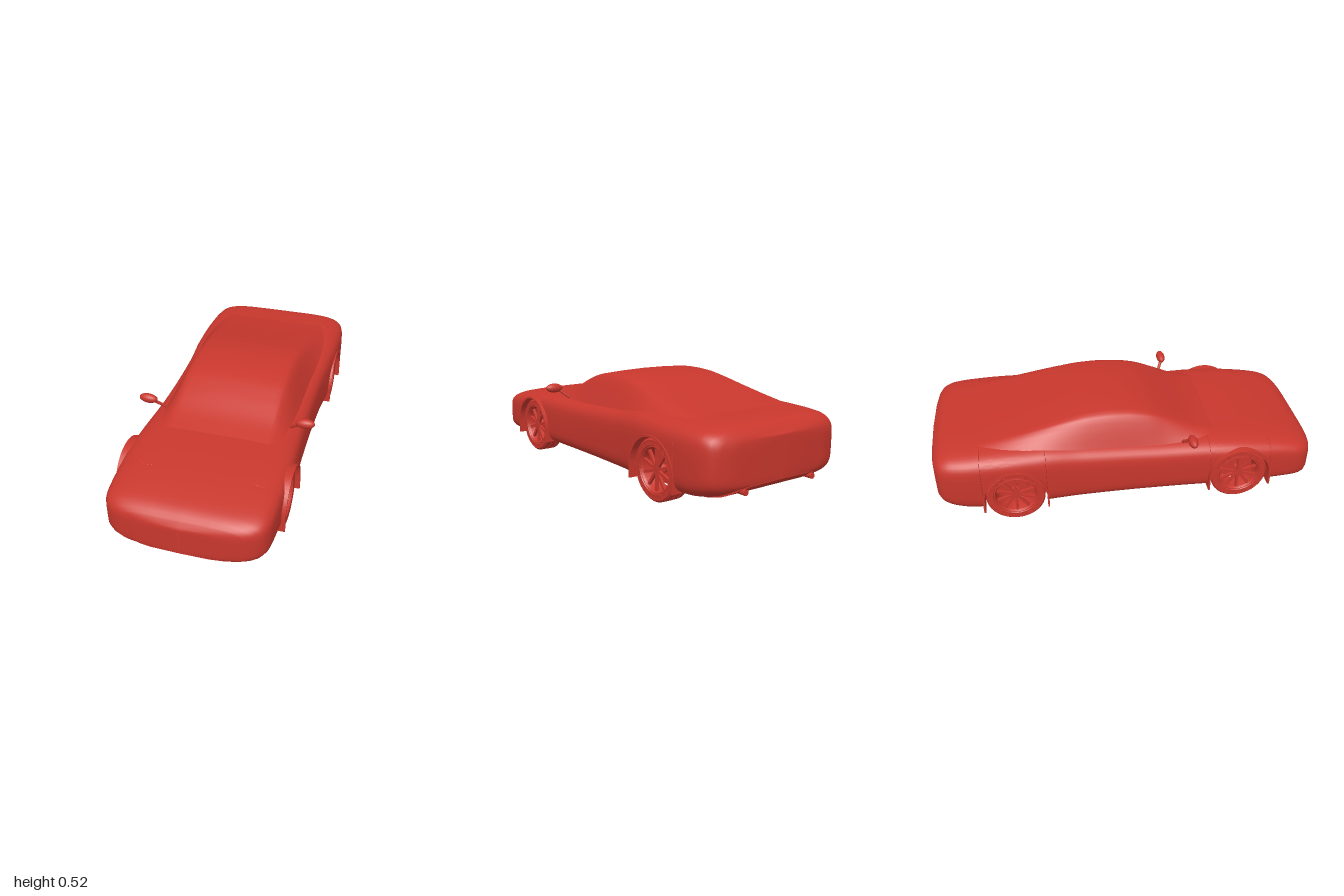
import * as THREE from 'three';
import { toCreasedNormals } from 'three/addons/utils/BufferGeometryUtils.js';

const AXLES = [0.567, -0.595], HUB_Y = 0.155, ARCH_R = 0.16, WELL_X = 0.29;

// Smooth lookup in rows [z, a, b, ...] ordered from front to back
function sample(rows, z) {
  let i = 0;
  while (i < rows.length - 2 && z < rows[i + 1][0]) i++;
  const p = rows[i], q = rows[i + 1], o = rows[i - 1] || p, r = rows[i + 2] || q;
  const d = q[0] - p[0], t = THREE.MathUtils.clamp((z - p[0]) / d, 0, 1);
  const slope = (a, b, c, k) => {
    const s = a === b ? 0 : (b[k] - a[k]) / (b[0] - a[0]);
    const u = b === c ? 0 : (c[k] - b[k]) / (c[0] - b[0]);
    if (a === b) return u;
    if (b === c) return s;
    return s * u <= 0 ? 0 : (2 * s * u) / (s + u);
  };
  return p.slice(1).map((v, n) => {
    const k = n + 1, m0 = slope(o, p, q, k) * d, m1 = slope(p, q, r, k) * d;
    const t2 = t * t, t3 = t2 * t;
    return v * (2 * t3 - 3 * t2 + 1) + q[k] * (3 * t2 - 2 * t3) + m0 * (t3 - 2 * t2 + t) + m1 * (t3 - t2);
  });
}

// Skin cross-sections; each half runs from bottom centre up the left side to top centre
function loft(stations, half, crease) {
  const pos = [], idx = [];
  let n = 0;
  stations.forEach((z) => {
    const h = half(z);
    const ring = [...h, ...h.slice(0, -1).reverse().map(([x, y]) => [-x, y])];
    n = ring.length;
    ring.forEach(([x, y]) => pos.push(x, y, z));
  });
  for (let i = 0; i < stations.length - 1; i++) {
    for (let j = 0; j < n - 1; j++) {
      const a = i * n + j, c = a + n;
      idx.push(a, c, a + 1, a + 1, c, c + 1);
    }
  }
  const g = new THREE.BufferGeometry();
  g.setAttribute('position', new THREE.Float32BufferAttribute(pos, 3));
  g.setIndex(idx);
  return toCreasedNormals(g, crease);
}

// Lower body: z, half width, bottom, top
const BODY = [
  [1, 0.001, 0.085, 0.225], [0.993, 0.2, 0.08, 0.235], [0.975, 0.31, 0.073, 0.262],
  [0.94, 0.37, 0.067, 0.288], [0.88, 0.396, 0.064, 0.308], [0.75, 0.405, 0.062, 0.333],
  [0.57, 0.411, 0.06, 0.354], [0.4, 0.405, 0.06, 0.364], [0.2, 0.397, 0.06, 0.366],
  [0, 0.394, 0.06, 0.376], [-0.25, 0.398, 0.06, 0.395], [-0.45, 0.412, 0.06, 0.416],
  [-0.65, 0.42, 0.06, 0.418], [-0.8, 0.418, 0.066, 0.414], [-0.9, 0.405, 0.085, 0.408],
  [-0.95, 0.385, 0.105, 0.393], [-0.98, 0.345, 0.125, 0.37], [-0.995, 0.26, 0.138, 0.35],
  [-1, 0.001, 0.142, 0.345],
];

function bodyHalf(z) {
  const [w, yb, yt] = sample(BODY, z), n = 5, mid = (yb + yt) / 2, hh = (yt - yb) / 2;
  let start = -Math.acos(Math.pow(0.75, n / 2));
  // Lift the lower edge over each wheel
  for (const c of AXLES) {
    const d = Math.abs(z - c);
    if (d <= ARCH_R) {
      const s = (HUB_Y + Math.sqrt(ARCH_R * ARCH_R - d * d) - mid) / hh;
      start = Math.asin(Math.sign(s) * Math.pow(Math.min(Math.abs(s), 0.98), n / 2));
    }
  }
  const side = [];
  for (let i = 0; i <= 24; i++) {
    const a = start + (Math.PI / 2 - start) * (i / 24), s = Math.sin(a);
    const x = i === 24 ? 0 : w * Math.pow(Math.cos(a), 2 / n);
    side.push([x, mid + hh * Math.sign(s) * Math.pow(Math.abs(s), 2 / n)]);
  }
  const inner = Math.min(WELL_X, 0.7 * w);
  return [[0, yb], [inner, yb], [inner, side[0][1]], ...side];
}

// Cabin: z, base half width, base height, roof height
const CABIN = [
  [0.45, 0.33, 0.34, 0.362], [0.35, 0.338, 0.34, 0.394], [0.2, 0.342, 0.342, 0.465],
  [0.1, 0.343, 0.348, 0.505], [0, 0.343, 0.354, 0.524], [-0.1, 0.344, 0.36, 0.53],
  [-0.2, 0.347, 0.366, 0.525], [-0.3, 0.353, 0.374, 0.508], [-0.45, 0.362, 0.385, 0.474],
  [-0.6, 0.365, 0.385, 0.442], [-0.8, 0.36, 0.38, 0.408],
];
const CABIN_SHAPE = [[1, 0], [0.95, 0.22], [0.9, 0.45], [0.84, 0.69], [0.79, 0.86],
  [0.75, 0.925], [0.68, 0.955], [0.35, 0.987], [0, 1]];

function cabinHalf(z) {
  const [w, y0, y1] = sample(CABIN, z);
  return CABIN_SHAPE.map(([x, y]) => [x * w, y0 + (y1 - y0) * y]);
}

function stationsBetween(front, back, count, extra) {
  const list = [...extra];
  for (let i = 0; i <= count; i++) list.push(front + (back - front) * (i / count));
  return [...new Set(list)].sort((a, b) => b - a);
}

export function createModel() {
  const car = new THREE.Group();
  car.name = 'car';
  const red = new THREE.MeshStandardMaterial({ color: 0xc8372d, side: THREE.DoubleSide });
  red.name = 'red paint';
  const add = (parent, name, geo, x = 0, y = 0, z = 0) => {
    const m = new THREE.Mesh(geo, red);
    m.name = name;
    m.position.set(x, y, z);
    parent.add(m);
    return m;
  };

  // Body shell with open wheel wells
  const extra = BODY.map((r) => r[0]);
  for (const c of AXLES) {
    for (const s of [-1, 1]) {
      for (const f of [1.01, 0.9999, 0.985, 0.95, 0.88]) extra.push(c + s * ARCH_R * f);
    }
  }
  add(car, 'body', loft(stationsBetween(1, -1, 100, extra), bodyHalf, 0.6));
  add(car, 'cabin', loft(stationsBetween(0.45, -0.8, 50, []), cabinHalf, 0.6));

  // Wheel arch flare
  const flare = new THREE.Shape();
  flare.moveTo(-0.166, -0.07);
  flare.lineTo(-0.166, 0);
  flare.absarc(0, 0, 0.166, Math.PI, 0, true);
  flare.lineTo(0.166, -0.07);
  flare.lineTo(0.157, -0.07);
  flare.lineTo(0.157, 0);
  flare.absarc(0, 0, 0.157, 0, Math.PI, false);
  flare.lineTo(-0.157, -0.07);
  const flareGeo = toCreasedNormals(new THREE.ExtrudeGeometry(flare,
    { depth: 0.425 - WELL_X, bevelEnabled: false, curveSegments: 32 }).rotateY(Math.PI / 2), 0.6);

  // Wheel parts, axle along x with the outer face at +x
  const profile = [[0.11, -0.047], [0.14, -0.051], [0.149, -0.043], [0.15, -0.02], [0.146, -0.018],
    [0.146, -0.012], [0.15, -0.01], [0.15, 0.01], [0.146, 0.012], [0.146, 0.018], [0.15, 0.02],
    [0.149, 0.043], [0.14, 0.051], [0.115, 0.048], [0.112, 0.043], [0.107, 0.045], [0.1, 0.035],
    [0.098, -0.045], [0.11, -0.047]].map(([r, y]) => new THREE.Vector2(r, y));
  const tireGeo = toCreasedNormals(new THREE.LatheGeometry(profile, 40).rotateZ(-Math.PI / 2), 0.6);
  const hubGeo = new THREE.CylinderGeometry(0.02, 0.028, 0.035, 20).rotateZ(-Math.PI / 2);
  const discGeo = new THREE.CylinderGeometry(0.065, 0.065, 0.012, 28).rotateZ(-Math.PI / 2);
  const axleGeo = new THREE.CylinderGeometry(0.02, 0.02, 0.08, 12).rotateZ(-Math.PI / 2);
  const spokeGeo = new THREE.BoxGeometry(0.014, 0.09, 0.013).translate(0, 0.058, 0);

  const mirrorGeo = new THREE.SphereGeometry(1, 16, 10).scale(0.05, 0.025, 0.024);

  for (const side of [1, -1]) {
    const label = side > 0 ? 'left' : 'right';
    AXLES.forEach((z, i) => {
      const end = i === 0 ? 'Front' : 'Rear';
      add(car, label + end + 'ArchFlare', flareGeo, side > 0 ? WELL_X : -0.425, HUB_Y, z);
      const wheel = new THREE.Group();
      wheel.name = label + end + 'Wheel';
      wheel.position.set(side * 0.352, HUB_Y, z);
      if (side < 0) wheel.rotation.y = Math.PI;
      car.add(wheel);
      add(wheel, 'tireAndRim', tireGeo);
      add(wheel, 'hub', hubGeo, 0.02);
      add(wheel, 'brakeDisc', discGeo, -0.02);
      add(wheel, 'axle', axleGeo, -0.03);
      for (let k = 0; k < 10; k++) {
        add(wheel, 'spoke', spokeGeo, 0.03).rotation.x = (k * Math.PI) / 5;
      }
    });

    // Door mirror on its stalk
    const mirror = add(car, label + 'Mirror', mirrorGeo, side * 0.415, 0.411, 0.302);
    mirror.rotation.z = side * 0.06;
    const stalk = new THREE.LineCurve3(new THREE.Vector3(side * 0.335, 0.355, 0.27),
      new THREE.Vector3(side * 0.39, 0.402, 0.3));
    add(car, label + 'MirrorStalk', new THREE.TubeGeometry(stalk, 1, 0.008, 8));

    // Exhaust tip under the rear bumper
    add(car, label + 'Exhaust', new THREE.CylinderGeometry(0.014, 0.014, 0.12, 16).rotateX(Math.PI / 2),
      side * 0.21, 0.118, -0.938);
  }
  return car;
}
